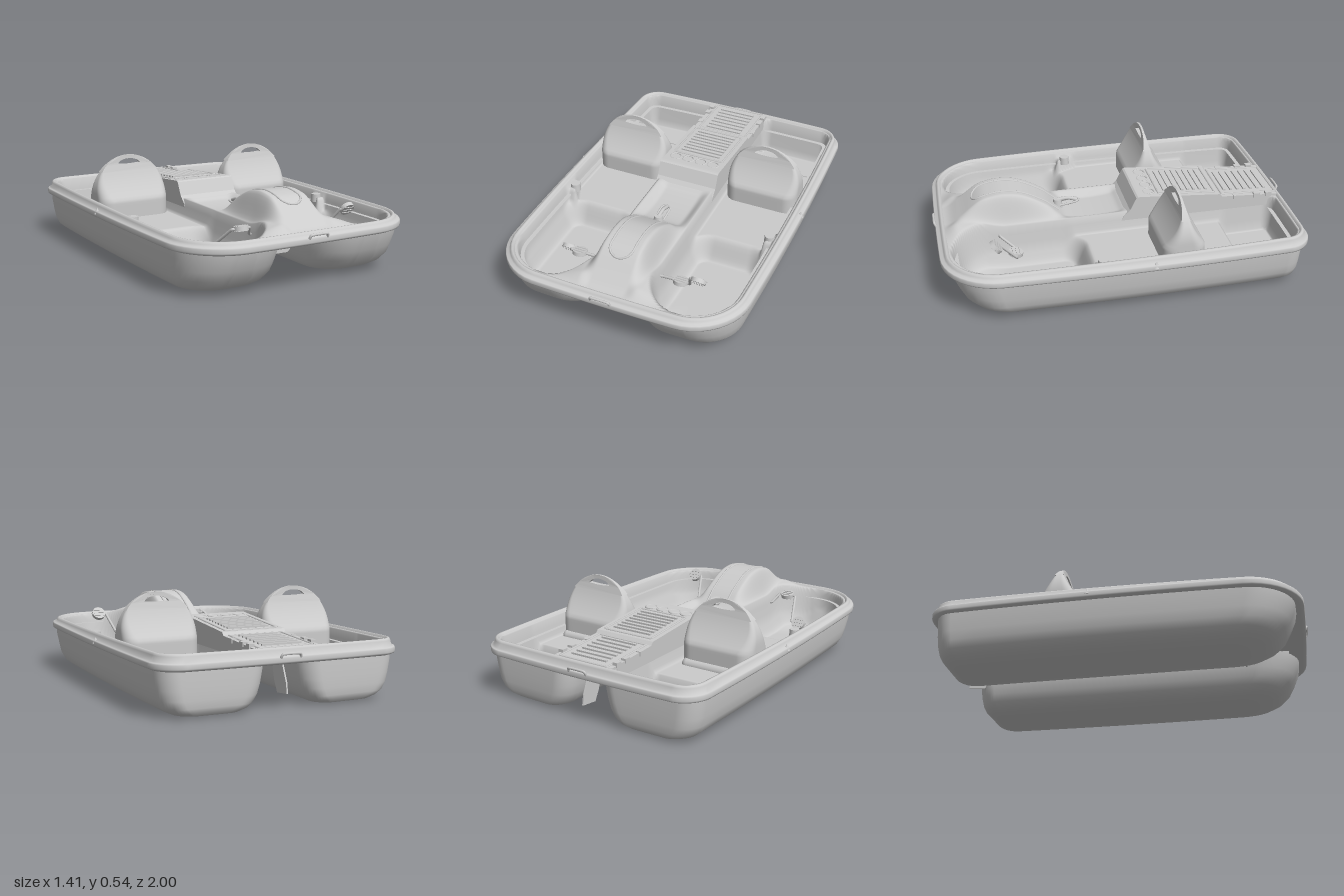
import * as THREE from 'three';

const mat = new THREE.MeshStandardMaterial({ color: 0xcccccc, side: THREE.DoubleSide });
const V = (x, y, z) => new THREE.Vector3(x, y, z);
const lerp = THREE.MathUtils.lerp;
const step = (a, b, v) => THREE.MathUtils.smoothstep(v, a, b);

// Gentle barrel shape shared by hulls, rim and deck
const bulge = (x, z) => [x * (1 - 0.035 * z * z), z * (1 - 0.03 * x * x)];
// The gunwale drops slightly towards the front
const sheer = z => -0.004 - 0.01 * z;

// Rounded rectangle in plan with separate front and back corner radii
function roundRect(x0, x1, z0, z1, rf, rb) {
  const corners = [[x1, z1, -1, -1, rf], [x0, z1, 1, -1, rf], [x0, z0, 1, 1, rb], [x1, z0, -1, 1, rb]];
  const arcs = corners.map(([x, z, sx, sz, r], q) => Array.from({ length: 11 }, (_, i) => {
    const a = (q + i / 10) * Math.PI / 2;
    return [x + sx * r + r * Math.cos(a), z + sz * r + r * Math.sin(a)];
  }));
  return arcs.flatMap((arc, q) => {
    const a = arc[10], b = arcs[(q + 1) % 4][0];
    const side = [];
    for (let i = 1; i < 12; i++) side.push([lerp(a[0], b[0], i / 12), lerp(a[1], b[1], i / 12)]);
    return [...arc, ...side];
  });
}

// Surface through rows of points
function skin(rows, closed) {
  const n = rows[0].length, pos = [], idx = [];
  for (const row of rows) for (const p of row) pos.push(p[0], p[1], p[2]);
  for (let i = 0; i < rows.length - 1; i++) {
    for (let j = 0; j < (closed ? n : n - 1); j++) {
      const k = (j + 1) % n, a = i * n + j, b = i * n + k;
      idx.push(a, a + n, b, b, a + n, b + n);
    }
  }
  const g = new THREE.BufferGeometry();
  g.setAttribute('position', new THREE.Float32BufferAttribute(pos, 3));
  g.setIndex(idx);
  g.computeVertexNormals();
  return g;
}

function rectDistance(x, z, x0, x1, z0, z1, rf, rb) {
  const cz = (z0 + z1) / 2, r = z > cz ? rf : rb;
  const qx = Math.abs(x - (x0 + x1) / 2) - (x1 - x0) / 2 + r;
  const qz = Math.abs(z - cz) - (z1 - z0) / 2 + r;
  return Math.hypot(Math.max(qx, 0), Math.max(qz, 0)) + Math.min(Math.max(qx, qz), 0) - r;
}

// Lengthwise height of the centre console: saddle, then front hump
const ridge = new THREE.SplineCurve([
  [-1, 0.3], [-0.4, 0.3], [-0.1, 0.3], [-0.02, 0.275], [0.12, 0.265], [0.25, 0.275], [0.31, 0.31], [0.38, 0.37], [0.5, 0.437],
  [0.6, 0.458], [0.68, 0.453], [0.75, 0.43], [0.85, 0.355], [0.92, 0.31], [1, 0.3],
].map(p => new THREE.Vector2(...p))).getPoints(140);
function ridgeHeight(z) {
  const i = Math.max(1, ridge.findIndex(p => p.x >= z)), a = ridge[i - 1], b = ridge[i];
  return lerp(a.y, b.y, (z - a.x) / (b.x - a.x));
}

// Deck height with cockpit tubs, foot wells and console
function deckHeight(x, z) {
  x = Math.abs(x);
  let y = 0.3 + sheer(z);
  y -= 0.1 * step(0, 0.025, -rectDistance(x, z, 0.168, 0.637, -0.925, 0.925, 0.24, 0.07));
  y -= 0.13 * step(0, 0.075, -rectDistance(x, z, 0.165, 0.63, 0.18, 0.915, 0.2, 0.13));
  y -= 0.02 * step(0, 0.03, -rectDistance(x, z, 0.17, 0.637, -0.925, -0.28, 0.05, 0.07));
  y -= 0.09 * step(0, 0.03, -rectDistance(x, z, 0.17, 0.635, -0.92, -0.595, 0.05, 0.06));
  // Corner ledges carrying the side cups
  const ledge = step(0, 0.015, x - 0.565 - 0.45 * Math.max(0, 0.2 - z)) * (1 - step(0.2, 0.23, z)) * step(0, 0.1, z);
  y = lerp(y, Math.max(y, 0.265), ledge);
  // Skirt spreading from the foot of the hump
  const skirt = 0.045 * step(0.6, 0.8, z) * (1 - step(0.87, 0.965, z));
  y += skirt * (1 - step(0.12, 0.34, x));
  return y + (ridgeHeight(z) - 0.3 - skirt) * (1 - step(0.1, 0.165, x));
}

function deckGeometry() {
  const X = 0.65, Z = 0.945, rows = [];
  for (let i = 0; i <= 180; i++) {
    const z = lerp(-Z, Z, i / 180), r = z > 0 ? 0.24 : 0.08;
    const over = Math.max(0, Math.abs(z) - (Z - r));
    const w = X - r + Math.sqrt(Math.max(0, r * r - over * over));
    rows.push(Array.from({ length: 161 }, (_, j) => {
      const x = lerp(-w, w, j / 160), [bx, bz] = bulge(x, z);
      return [bx, deckHeight(x, z), bz];
    }));
  }
  return skin(rows, false);
}

// Backrest half thickness and half width by height
const restT = y => Math.min(0.115, 0.006 + 0.1 * Math.pow(Math.max(0, 0.54 - y) / 0.23, 1.8));
const restW = y => (y < 0.33 ? 0.21 : Math.sqrt(0.0441 - (y - 0.33) ** 2));

export function createModel() {
  const model = new THREE.Group();
  const add = (name, geo, x = 0, y = 0, z = 0, parent = model) => {
    const m = new THREE.Mesh(geo, mat);
    m.name = name;
    m.position.set(x, y, z);
    parent.add(m);
    return m;
  };
  const box = (name, w, h, d, x, y, z) => add(name, new THREE.BoxGeometry(w, h, d), x, y, z);
  const tube = (name, pts, r) =>
    add(name, new THREE.TubeGeometry(new THREE.CatmullRomCurve3(pts, false, 'catmullrom', 0.3), 60, r, 8));

  add('deck', deckGeometry());

  // Rim: a stepped flange swept around the outline
  const rimProfile = [[0.1, 0.235], [0.02, 0.235], [0.003, 0.242], [0, 0.25], [0, 0.268], [0.004, 0.274], [0.02, 0.277],
    [0.026, 0.3], [0.031, 0.309], [0.038, 0.312], [0.046, 0.311], [0.054, 0.297]];
  add('rim', skin(rimProfile.map(([d, y]) =>
    roundRect(-0.7 + d, 0.7 - d, -0.99 + d, 0.99 - d, 0.29 - d, 0.14 - d).map(([x, z]) => {
      const [bx, bz] = bulge(x, z);
      return [bx, y > 0.28 ? y + sheer(z) : y, bz];
    })), true));

  // Hull sections: height, inner x, outer x, back z, front z, front and back radii
  const hullRows = [[0, 0.385, 0.386, -0.1, -0.099, 0, 0], [0, 0.25, 0.52, -0.88, 0.69, 0.11, 0.07], [0.008, 0.205, 0.565, -0.91, 0.74, 0.14, 0.09],
    [0.025, 0.17, 0.605, -0.93, 0.8, 0.17, 0.1], [0.05, 0.145, 0.635, -0.94, 0.846, 0.19, 0.1], [0.09, 0.124, 0.655, -0.945, 0.884, 0.2, 0.1],
    [0.14, 0.11, 0.665, -0.948, 0.912, 0.22, 0.1], [0.2, 0.1, 0.674, -0.95, 0.938, 0.23, 0.1], [0.25, 0.096, 0.678, -0.95, 0.948, 0.24, 0.1]];
  for (const s of [1, -1]) {
    add(s > 0 ? 'leftHull' : 'rightHull', skin(hullRows.map(([y, a, b, c, d, rf, rb]) =>
      roundRect(s > 0 ? a : -b, s > 0 ? b : -a, c, d, rf, rb).map(([x, z]) => {
        const [bx, bz] = bulge(x, z);
        return [bx, y, bz];
      })), true));
  }
  box('bridge', 0.28, 0.012, 1.88, 0, 0.242, 0);

  // Backrests: flared base, thin arched top with a grip hole
  const arch = new THREE.Shape();
  const a0 = Math.asin(0.12 / 0.21);
  arch.absarc(0, 0.33, 0.21, a0, Math.PI - a0);
  const grip = new THREE.Path();
  grip.moveTo(-0.07, 0.49);
  grip.bezierCurveTo(-0.05, 0.528, 0.05, 0.528, 0.07, 0.49);
  grip.quadraticCurveTo(0, 0.482, -0.07, 0.49);
  arch.holes.push(grip);
  const top = new THREE.ExtrudeGeometry(arch, { depth: 1, bevelEnabled: false, curveSegments: 32 });
  const p = top.attributes.position;
  for (let i = 0; i < p.count; i++) p.setZ(i, (p.getZ(i) - 0.5) * 2 * restT(p.getY(i)));
  top.computeVertexNormals();
  const base = skin(Array.from({ length: 19 }, (_, i) => {
    const y = lerp(0.15, 0.45, i / 18), t = restT(y), w = restW(y);
    return roundRect(-w, w, -t, t, t * 0.6, t * 0.6).map(([x, z]) => [x, y, z]);
  }), true);
  for (const s of [1, -1]) {
    const rest = new THREE.Group();
    rest.name = 'backrest';
    rest.position.set(s * 0.412, 0, -0.28);
    add('backrestTop', top, 0, 0, 0, rest);
    add('backrestBase', base, 0, 0, 0, rest);
    // Rolled cushion edge along the back
    add('cushionRoll', new THREE.CapsuleGeometry(0.035, 0.32, 6, 16).rotateZ(Math.PI / 2), 0, 0.18, -0.1, rest);
    model.add(rest);
  }

  // Rear console: a higher front panel and a lower rear hatch
  const side = new THREE.Shape([[0.03, 0.25], [0.045, 0.275], [0.08, 0.31], [0.115, 0.382], [0.125, 0.388], [0.14, 0.388], [0.6, 0.352], [0.615, 0.335],
    [0.95, 0.316], [0.95, 0.25]].map(q => new THREE.Vector2(...q)));
  const consoleGeo = new THREE.ExtrudeGeometry(side, { depth: 0.36, bevelEnabled: false });
  consoleGeo.rotateY(Math.PI / 2).translate(-0.18, 0, 0);
  add('rearConsole', consoleGeo);
  const panelY = z => (z > -0.6 ? 0.388 + (z + 0.14) * 0.078 : 0.335 + (z + 0.615) * 0.057);
  for (let i = 0; i < 8; i++) box('frontSlat', 0.24, 0.012, 0.014, 0, panelY(-0.29 - i * 0.035) + 0.003, -0.29 - i * 0.035);
  for (let i = 0; i < 7; i++) box('hatchSlat', 0.22, 0.012, 0.014, 0, panelY(-0.65 - i * 0.04) + 0.003, -0.65 - i * 0.04);
  for (const [z0, z1] of [[-0.575, -0.25], [-0.94, -0.62]]) {
    const y0 = panelY(z0), y1 = panelY(z1), c = [V(-0.15, y0, z0), V(0.15, y0, z0), V(0.15, y1, z1), V(-0.15, y1, z1)];
    c.forEach((q, i) => add('panelFrame', new THREE.TubeGeometry(new THREE.LineCurve3(q, c[(i + 1) % 4]), 1, 0.006, 6)));
  }
  for (let i = 0; i < 4; i++) {
    add('cupHolder', new THREE.TorusGeometry(0.031, 0.005, 8, 24).rotateX(Math.PI / 2), -0.117 + i * 0.078, panelY(-0.2) - 0.001, -0.2);
  }
  for (const s of [1, -1]) {
    for (const z of [-0.89, -0.82, -0.7]) box('hinge', 0.028, 0.024, 0.035, s * 0.172, 0.322, z);
    // Side cups and sockets
    add('sideCup', new THREE.CylinderGeometry(0.027, 0.03, 0.045, 20), s * 0.597, 0.262, 0.16);
    add('sideSocket', new THREE.ConeGeometry(0.018, 0.035, 12), s * 0.687, 0.275, -0.1);
    // End handles
    tube('endHandle', [V(-0.055, 0.268, s * 0.985), V(-0.045, 0.288, s * 0.993), V(0.045, 0.288, s * 0.993), V(0.055, 0.268, s * 0.985)], 0.007);
  }

  // Raised bead loop over the hump
  const bead = [];
  for (let i = 0; i <= 12; i++) bead.push([0.065, lerp(0.3, 0.73, i / 12)]);
  for (let i = 1; i < 8; i++) bead.push([0.065 * Math.cos(i * Math.PI / 8), 0.73 + 0.05 * Math.sin(i * Math.PI / 8)]);
  for (let i = 12; i >= 0; i--) bead.push([-0.065, lerp(0.3, 0.73, i / 12)]);
  tube('humpBead', bead.map(([x, z]) => V(x, deckHeight(x, z), z)), 0.006);

  // Steering lever
  add('steeringPivot', new THREE.CylinderGeometry(0.022, 0.03, 0.05, 20), 0, 0.305, 0.3);
  tube('steeringLever', [V(0, 0.325, 0.3), V(0, 0.33, 0.24), V(0, 0.315, 0.19)], 0.011);
  tube('steeringGrip', [V(-0.025, 0.3, 0.29), V(-0.025, 0.315, 0.2), V(0, 0.315, 0.18), V(0.025, 0.315, 0.2), V(0.025, 0.3, 0.29)], 0.006);

  // Cranks with two pedals on each side
  const cranks = [
    [[0.13, 0.24, 0.65], [0.185, 0.24, 0.65], [0.205, 0.17, 0.575], [0.31, 0.17, 0.575], [0.36, 0.315, 0.69], [0.45, 0.315, 0.69]],
    [[-0.13, 0.24, 0.65], [-0.185, 0.24, 0.65], [-0.215, 0.29, 0.7], [-0.32, 0.29, 0.7], [-0.37, 0.17, 0.565], [-0.46, 0.17, 0.565]],
  ];
  for (const c of cranks) {
    const path = new THREE.CurvePath();
    for (let i = 0; i < 5; i++) path.add(new THREE.LineCurve3(V(...c[i]), V(...c[i + 1])));
    add('crank', new THREE.TubeGeometry(path, 60, 0.008, 8));
    for (const i of [2, 4]) {
      const x = (c[i][0] + c[i + 1][0]) / 2;
      const pedal = add('pedal', new THREE.CylinderGeometry(0.04, 0.04, 0.022, 20), x, c[i][1], c[i][2]);
      pedal.rotation.x = i === 2 ? -0.2 : -0.9;
      for (const k of [-1, 0, 1]) add('pedalRib', new THREE.BoxGeometry(0.06, 0.03, 0.006), 0, 0, k * 0.02, pedal);
    }
  }

  // Paddle wheel in the tunnel
  add('paddleAxle', new THREE.CylinderGeometry(0.012, 0.012, 0.3, 12).rotateZ(Math.PI / 2), 0, 0.24, 0.65);
  const bladeShape = new THREE.Shape(roundRect(-0.068, 0.068, -0.125, -0.02, 0.01, 0.025).map(q => new THREE.Vector2(...q)));
  const bladeGeo = new THREE.ExtrudeGeometry(bladeShape, { depth: 0.008, bevelEnabled: false }).translate(0, 0, -0.004);
  for (let i = 0; i < 5; i++) add('paddleBlade', bladeGeo, 0, 0.24, 0.65).rotation.x = i * Math.PI * 0.4;

  // Rudder
  const fin = new THREE.Shape([[0.8, 0.24], [0.83, 0.13], [0.86, 0.075], [0.955, 0.085], [0.945, 0.14], [0.9, 0.24]].map(q => new THREE.Vector2(...q)));
  add('rudder', new THREE.ExtrudeGeometry(fin, { depth: 0.008, bevelEnabled: false }).rotateY(Math.PI / 2).translate(-0.004, 0, 0));
  return model;
}
